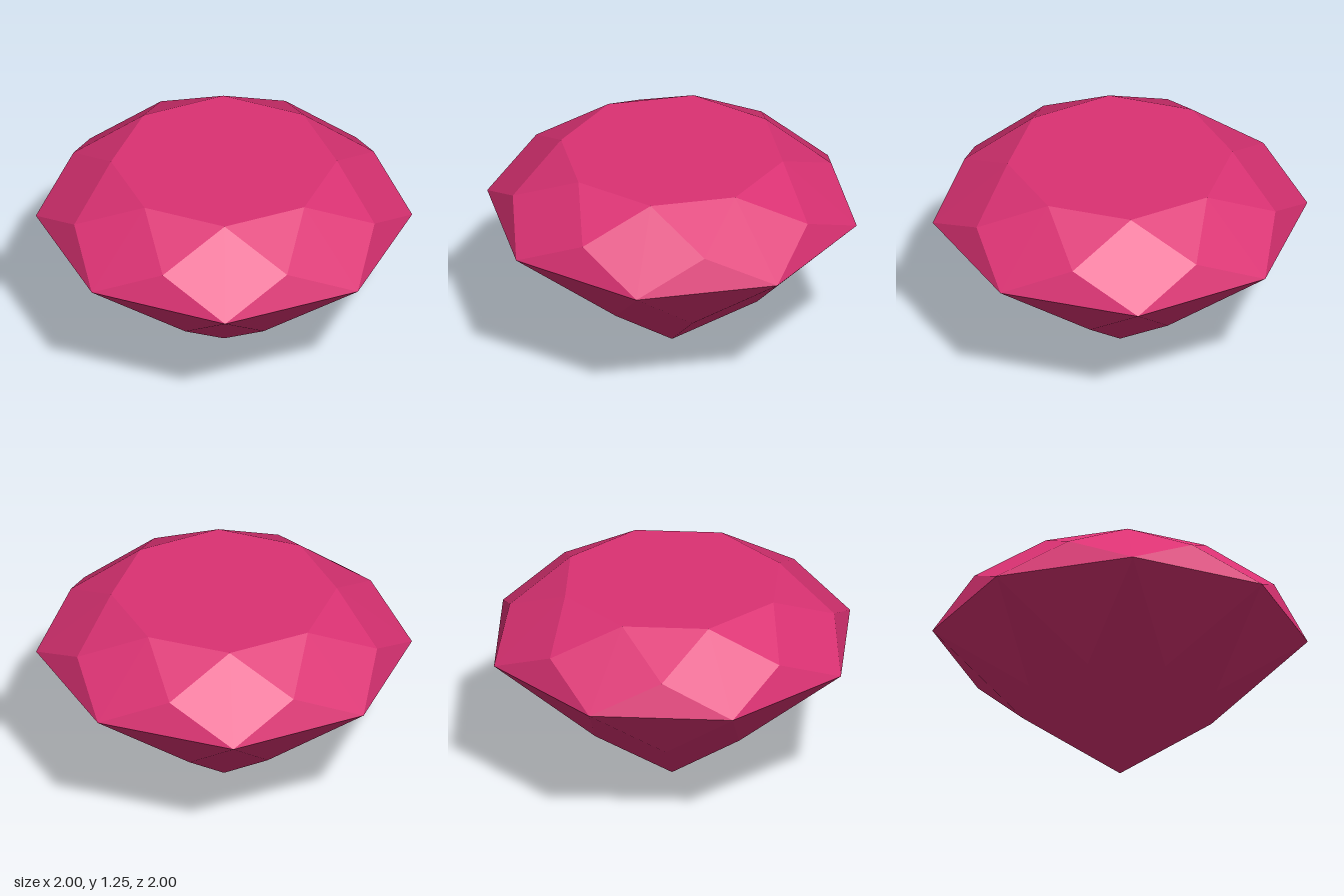
import * as THREE from 'three';

const SIDES = 8;
const STEP = (Math.PI * 2) / SIDES;

// Eight points on a level circle; turn is a fraction of one step
function ring(radius, y, turn) {
  return Array.from({ length: SIDES }, (_, i) => {
    const a = (i + turn) * STEP;
    return new THREE.Vector3(Math.sin(a) * radius, y, Math.cos(a) * radius);
  });
}

// Flat facets from convex polygons, corners counter-clockwise from outside
function facetMesh(name, polygons, material) {
  const points = [];
  for (const p of polygons) {
    for (let i = 1; i < p.length - 1; i++) points.push(p[0], p[i], p[i + 1]);
  }
  const geometry = new THREE.BufferGeometry().setFromPoints(points);
  geometry.computeVertexNormals();
  const mesh = new THREE.Mesh(geometry, material);
  mesh.name = name;
  return mesh;
}

export function createModel() {
  const gem = new THREE.Group();
  gem.name = 'cutGem';
  const pink = new THREE.MeshStandardMaterial({ color: 0xdb3273, flatShading: true });
  pink.name = 'gem pink';

  const table = ring(0.65, 1.25, 0.5);
  const crown = ring(0.935, 1.06, 0);
  const girdle = ring(1.0824, 0.87, 0.5);
  const pavilion = ring(0.587, 0.435, 0);
  const culet = new THREE.Vector3(0, 0, 0);

  const stars = [], kites = [], upperGirdle = [], lowerGirdle = [], mains = [];
  for (let i = 0; i < SIDES; i++) {
    const n = (i + 1) % SIDES;
    stars.push([table[i], crown[n], table[n]]);
    kites.push([table[i], crown[i], girdle[i], crown[n]]);
    upperGirdle.push([girdle[i], girdle[n], crown[n]]);
    lowerGirdle.push([girdle[n], girdle[i], pavilion[n]]);
    mains.push([girdle[i], pavilion[i], culet, pavilion[n]]);
  }

  // Crown, above the girdle
  gem.add(facetMesh('table', [table], pink));
  gem.add(facetMesh('starFacets', stars, pink));
  gem.add(facetMesh('crownKites', kites, pink));
  gem.add(facetMesh('upperGirdleFacets', upperGirdle, pink));
  // Pavilion, below the girdle
  gem.add(facetMesh('lowerGirdleFacets', lowerGirdle, pink));
  gem.add(facetMesh('pavilionKites', mains, pink));
  return gem;
}
